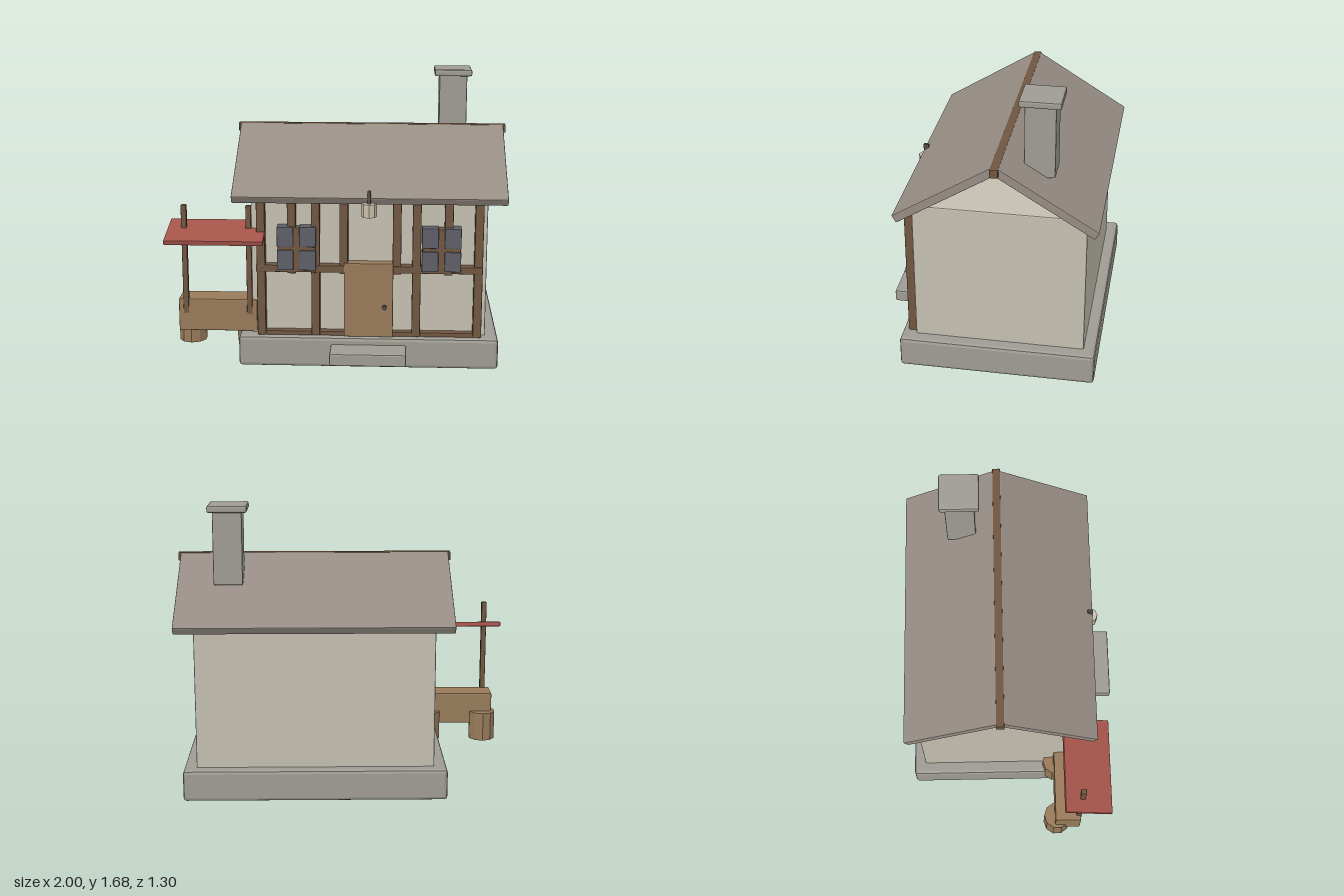
import * as THREE from 'three';
import { RoundedBoxGeometry } from 'three/addons/geometries/RoundedBoxGeometry.js';

const mat = (color) => new THREE.MeshStandardMaterial({ color, flatShading: true });

export function createModel() {
  const house = new THREE.Group();
  house.name = 'cottage';

  const stone = mat(0x9f9c94), plaster = mat(0xc4bfb0), timber = mat(0x705641);
  const slate = mat(0x968c84), wood = mat(0x987b5a), glass = mat(0x5e6068);
  const cloth = mat(0xa4534a), metal = mat(0x55504c), lampGlass = mat(0xc9c0aa);

  const group = (name, parent = house) => {
    const g = new THREE.Group();
    g.name = name;
    parent.add(g);
    return g;
  };

  const add = (parent, name, geometry, material, x, y, z) => {
    const mesh = new THREE.Mesh(geometry, material);
    mesh.name = name;
    mesh.position.set(x, y, z);
    parent.add(mesh);
    return mesh;
  };

  // Chamfered box given by its extents on each axis
  const box = (parent, name, material, [x0, x1], [y0, y1], [z0, z1], bevel = 0.005) =>
    add(parent, name, new RoundedBoxGeometry(x1 - x0, y1 - y0, z1 - z0, 1, bevel), material,
      (x0 + x1) / 2, (y0 + y1) / 2, (z0 + z1) / 2);

  // Body
  box(house, 'foundation', stone, [-0.585, 0.945], [0, 0.185], [-0.645, 0.49], 0.02);
  box(house, 'doorStep', stone, [-0.04, 0.405], [0.068, 0.142], [0.4, 0.652], 0.01);
  box(house, 'walls', plaster, [-0.51, 0.87], [0.17, 1.04], [-0.575, 0.405], 0.008);

  // Roof: two tilted slabs either side of the ridge
  const ridgeZ = -0.08, pitch = 0.554;
  const roof = group('roof');
  for (const side of [1, -1]) {
    const slab = add(roof, side > 0 ? 'frontRoofSlab' : 'backRoofSlab',
      new RoundedBoxGeometry(1.595, 0.05, 0.647, 1, 0.006), slate, 0.182, 1.179, ridgeZ + side * 0.282);
    slab.rotation.x = side * pitch;
  }
  box(roof, 'ridgeBeam', timber, [-0.63, 0.995], [1.32, 1.37], [-0.104, -0.056]);

  // Chimney
  const chimney = group('chimney');
  box(chimney, 'chimneyStack', stone, [0.595, 0.765], [1.222, 1.655], [-0.38, -0.207], 0.008);
  box(chimney, 'chimneyCap', stone, [0.565, 0.793], [1.645, 1.685], [-0.41, -0.178], 0.01);

  // Timber framing on the front wall
  const frame = group('timberFrame');
  for (const x of [-0.45, -0.13, 0.46, 0.82])
    box(frame, 'framePost', timber, [x - 0.025, x + 0.025], [0.185, 1.0], [0.395, 0.456]);
  for (const x of [-0.27, 0.035, 0.345, 0.645])
    box(frame, 'upperStud', timber, [x - 0.025, x + 0.025], [0.565, 1.0], [0.395, 0.453]);
  box(frame, 'middleRail', timber, [-0.48, 0.845], [0.575, 0.617], [0.395, 0.46]);
  box(frame, 'bottomRail', timber, [-0.475, 0.845], [0.183, 0.21], [0.395, 0.45]);
  box(frame, 'topRail', timber, [-0.475, 0.845], [0.985, 1.015], [0.395, 0.43]);

  // Door with knob
  const door = group('door');
  box(door, 'doorPanel', wood, [0.037, 0.325], [0.185, 0.635], [0.4, 0.466]);
  add(door, 'doorKnob', new THREE.CylinderGeometry(0.013, 0.013, 0.03, 8), metal, 0.275, 0.372, 0.475)
    .rotation.x = Math.PI / 2;

  // Windows: four panes over a cross of glazing bars
  for (const x of [-0.24, 0.603]) {
    const win = group('window');
    box(win, 'verticalBar', timber, [x - 0.022, x + 0.022], [0.595, 0.845], [0.4, 0.468]);
    box(win, 'horizontalBar', timber, [x - 0.11, x + 0.11], [0.708, 0.735], [0.4, 0.468]);
    for (const sx of [-1, 1]) for (const sy of [-1, 1]) {
      const px = x + sx * 0.066, py = 0.721 + sy * 0.07;
      box(win, 'pane', glass, [px - 0.048, px + 0.048], [py - 0.06, py + 0.06], [0.4, 0.475]);
    }
  }

  // Hanging lantern above the door
  const lantern = group('lantern');
  add(lantern, 'lanternBody', new THREE.CylinderGeometry(0.045, 0.045, 0.078, 8), lampGlass, 0.182, 0.959, 0.476);
  box(lantern, 'lanternHook', metal, [0.172, 0.192], [0.99, 1.07], [0.458, 0.49], 0.004);

  // Market stall beside the house
  const stall = group('stall');
  box(stall, 'counter', wood, [-0.95, -0.48], [0.19, 0.388], [0.252, 0.412], 0.008);
  for (const x of [-0.89, -0.535])
    add(stall, 'logStool', new THREE.CylinderGeometry(0.083, 0.083, 0.18, 10), wood, x, 0.18, 0.268);
  for (const x of [-0.905, -0.525])
    box(stall, 'awningPost', timber, [x - 0.016, x + 0.016], [0.3, 0.96], [0.384, 0.416], 0.004);
  const awning = add(stall, 'awning', new RoundedBoxGeometry(0.575, 0.03, 0.285, 1, 0.005), cloth, -0.7125, 0.805, 0.433);
  awning.rotation.x = 0.22;

  return house;
}
